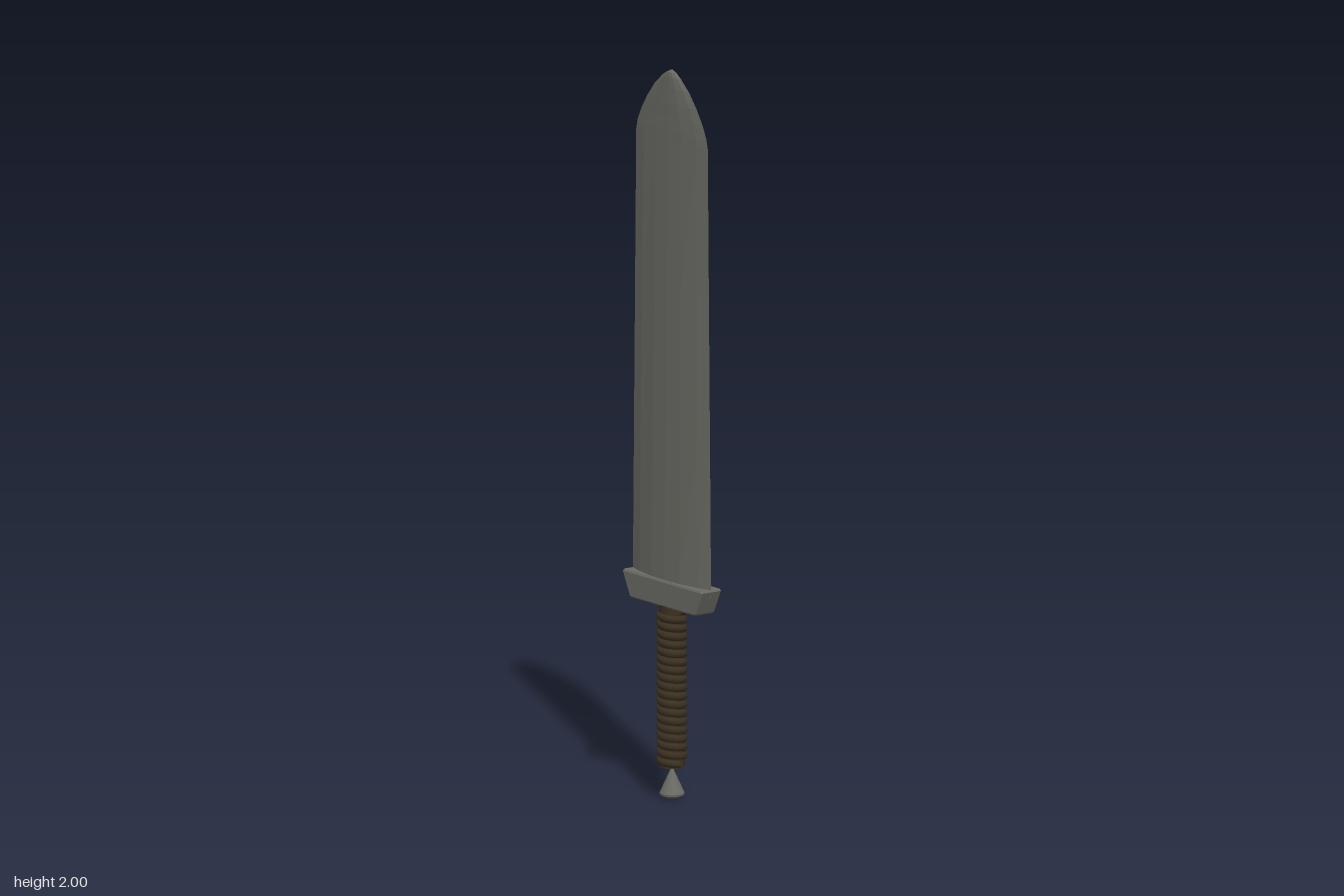
import * as THREE from 'three';

const steel = new THREE.MeshStandardMaterial({ name: 'darkSteel', color: 0x6b6b65, flatShading: true });
const leather = new THREE.MeshStandardMaterial({ name: 'brownLeather', color: 0x3b3020 });

function add(group, name, geometry, material) {
  const mesh = new THREE.Mesh(geometry, material);
  mesh.name = name;
  group.add(mesh);
  return mesh;
}

// Joins horizontal rings of [x, z] points, stacked upwards, into one skin
function loft(rings, capped) {
  const n = rings[0].points.length, pos = [], index = [];
  rings.forEach(r => r.points.forEach(([x, z]) => pos.push(x, r.y, z)));
  for (let i = 0; i < rings.length - 1; i++) {
    for (let j = 0; j < n; j++) {
      const a = i * n + j, b = i * n + (j + 1) % n;
      index.push(b, a, a + n, b, a + n, b + n);
    }
  }
  if (capped) {
    const top = (rings.length - 1) * n;
    for (let j = 1; j < n - 1; j++) {
      index.push(0, j, j + 1, top, top + j + 1, top + j);
    }
  }
  const g = new THREE.BufferGeometry();
  g.setAttribute('position', new THREE.Float32BufferAttribute(pos, 3));
  g.setIndex(index);
  const flat = g.toNonIndexed();
  flat.computeVertexNormals();
  return flat;
}

// Lens-shaped blade section with half width w and half thickness t
function lens(w, t) {
  const quarter = [[1, 0], [0.74, 0.5], [0.36, 0.9], [0, 1]];
  const front = [...quarter, ...quarter.slice(0, 3).reverse().map(([x, z]) => [-x, z])];
  const back = front.slice(1, -1).reverse().map(([x, z]) => [x, -z]);
  return [...front, ...back].map(([x, z]) => [x * w, z * t]);
}

// Rectangle with clipped corners
function plate(w, d, c = 0.004) {
  return [[w, d - c], [w - c, d], [c - w, d], [-w, d - c],
    [-w, c - d], [c - w, -d], [w - c, -d], [w, c - d]];
}

export function createModel() {
  const sword = new THREE.Group();
  sword.name = 'sword';

  // Broad blade with a rounded point: height, half width, half thickness
  const sections = [
    [0.58, 0.177, 0.026], [1.0, 0.172, 0.021], [1.4, 0.167, 0.017], [1.81, 0.162, 0.013],
    [1.835, 0.156, 0.013], [1.87, 0.139, 0.012], [1.91, 0.112, 0.012],
    [1.95, 0.078, 0.011], [1.98, 0.042, 0.010], [1.993, 0.02, 0.008], [2.0, 0.002, 0.002],
  ];
  add(sword, 'blade', loft(sections.map(([y, w, t]) => ({ y, points: lens(w, t) })), true), steel);

  // Guard flaring up towards the blade
  add(sword, 'guard', loft([
    { y: 0.53, points: plate(0.144, 0.031) },
    { y: 0.534, points: plate(0.148, 0.034) },
    { y: 0.597, points: plate(0.18, 0.034) },
    { y: 0.602, points: plate(0.178, 0.031) },
  ], true), steel);

  // Grip core with a cord wound around it
  const core = add(sword, 'gripCore', new THREE.CylinderGeometry(0.035, 0.035, 0.445, 24), leather);
  core.position.y = 0.31;

  class Helix extends THREE.Curve {
    getPoint(t, target = new THREE.Vector3()) {
      const a = t * 18 * Math.PI * 2;
      return target.set(Math.cos(a) * 0.031, 0.098 + t * 0.42, Math.sin(a) * 0.031);
    }
  }
  add(sword, 'gripWrap', new THREE.TubeGeometry(new Helix(), 432, 0.0115, 8), leather);

  // Conical pommel with a shallow domed foot
  const profile = [[0, 0], [0.02, 0.003], [0.033, 0.01], [0.034, 0.015], [0.006, 0.076], [0, 0.09]];
  add(sword, 'pommel',
    new THREE.LatheGeometry(profile.map(([x, y]) => new THREE.Vector2(x, y)), 20), steel);

  return sword;
}
